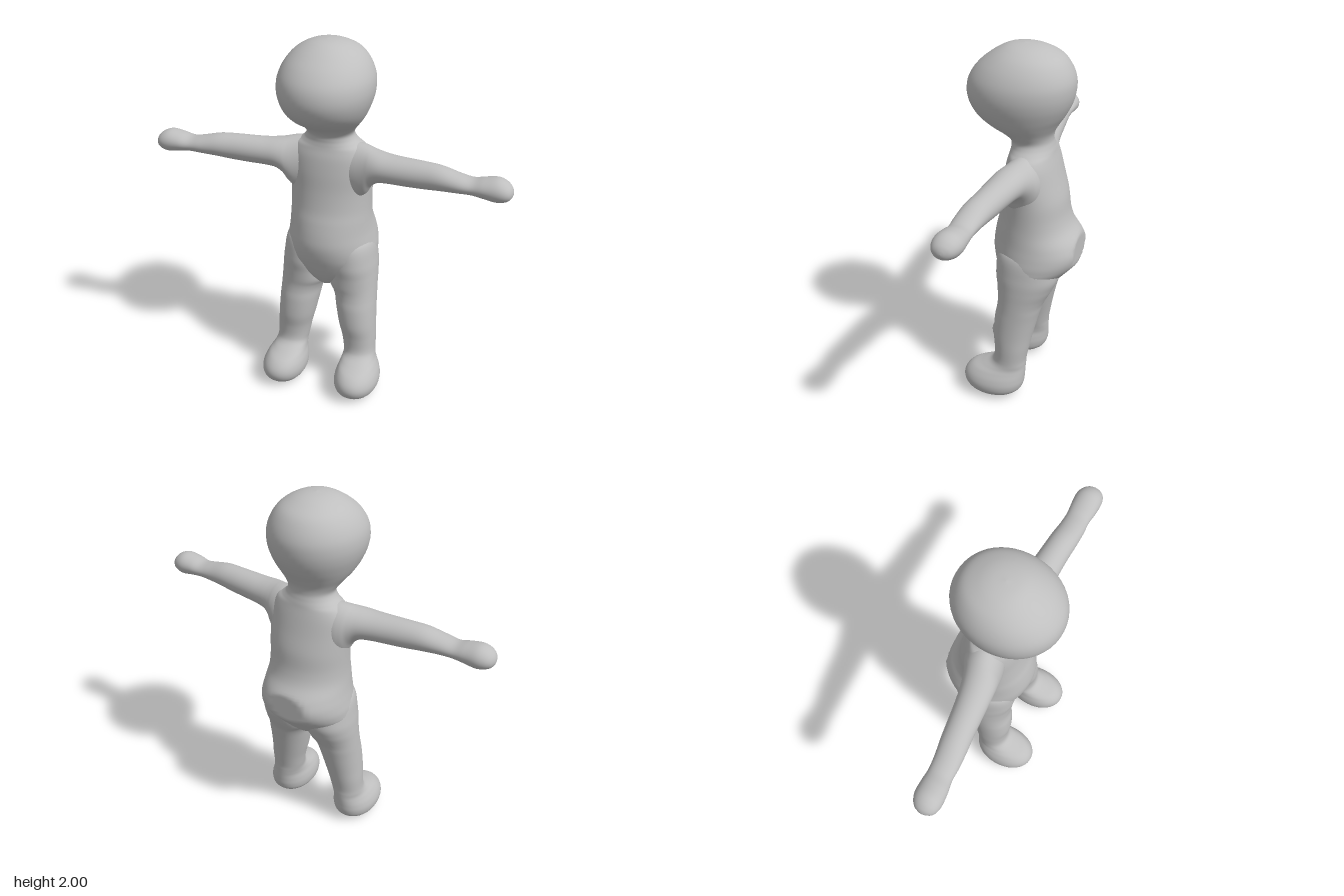
import * as THREE from 'three';

const AROUND = 48, STEPS = 6;

// Smooth curve through four neighbouring values
function spline(a, b, c, d, f) {
  const m0 = (c - a) / 2, m1 = (d - b) / 2;
  return b + f * (m0 + f * (3 * (c - b) - 2 * m0 - m1 + f * (m0 + m1 - 2 * (c - b))));
}

// Skin over cross-sections [t, uMin, uMax, vMin, vMax]; place maps (t, u, v) to [x, y, z]
function loft(sections, power, place, flip = false) {
  const rings = [];
  const last = sections.length - 1;
  const at = (i) => sections[Math.max(0, Math.min(last, i))];
  for (let i = 0; i < last; i++) {
    for (let s = 0; s < STEPS; s++) {
      rings.push(sections[0].map((_, k) =>
        spline(at(i - 1)[k], at(i)[k], at(i + 1)[k], at(i + 2)[k], s / STEPS)));
    }
  }
  rings.push(sections[last]);

  const bulge = (n) => Math.sign(n) * Math.pow(Math.abs(n), 2 / power);
  const positions = [], index = [];
  rings.forEach(([t, u0, u1, v0, v1], i) => {
    for (let j = 0; j < AROUND; j++) {
      const a = (j / AROUND) * Math.PI * 2;
      positions.push(...place(t,
        (u0 + u1) / 2 + bulge(Math.cos(a)) * (u1 - u0) / 2,
        (v0 + v1) / 2 + bulge(Math.sin(a)) * (v1 - v0) / 2));
      if (i === rings.length - 1) continue;
      const p = i * AROUND + j, q = i * AROUND + (j + 1) % AROUND;
      const r = p + AROUND, w = q + AROUND;
      if (flip) index.push(p, q, r, q, w, r);
      else index.push(p, r, q, q, r, w);
    }
  });
  const geometry = new THREE.BufferGeometry();
  geometry.setAttribute('position', new THREE.Float32BufferAttribute(positions, 3));
  geometry.setIndex(index);
  geometry.computeVertexNormals();
  return geometry;
}

// Torso, neck and head: y, half width, back z, front z
const BODY = [
  [0.605, 0, -0.03, -0.03],
  [0.615, 0.03, -0.08, 0.03],
  [0.64, 0.07, -0.13, 0.07],
  [0.70, 0.17, -0.195, 0.108],
  [0.78, 0.245, -0.265, 0.14],
  [0.84, 0.252, -0.315, 0.158],
  [0.90, 0.243, -0.335, 0.166],
  [0.96, 0.232, -0.315, 0.160],
  [1.03, 0.223, -0.265, 0.145],
  [1.10, 0.22, -0.24, 0.126],
  [1.20, 0.222, -0.225, 0.11],
  [1.30, 0.226, -0.198, 0.10],
  [1.38, 0.22, -0.177, 0.088],
  [1.43, 0.195, -0.163, 0.075],
  [1.455, 0.16, -0.157, 0.07],
  [1.48, 0.135, -0.15, 0.068],
  [1.51, 0.127, -0.145, 0.075],
  [1.55, 0.15, -0.152, 0.115],
  [1.60, 0.188, -0.18, 0.20],
  [1.65, 0.215, -0.212, 0.26],
  [1.71, 0.237, -0.24, 0.293],
  [1.77, 0.246, -0.254, 0.30],
  [1.83, 0.239, -0.253, 0.284],
  [1.89, 0.212, -0.23, 0.24],
  [1.94, 0.17, -0.19, 0.18],
  [1.975, 0.115, -0.125, 0.122],
  [1.993, 0.06, -0.065, 0.072],
  [2.0, 0, 0.005, 0.005],
];

// Leg with foot: y, inner x, outer x, back z, front z
const LEG = [
  [0, 0.22, 0.22, 0.11, 0.11],
  [0.004, 0.17, 0.265, 0.035, 0.19],
  [0.02, 0.13, 0.31, -0.01, 0.24],
  [0.05, 0.104, 0.335, -0.045, 0.275],
  [0.09, 0.096, 0.342, -0.06, 0.29],
  [0.13, 0.10, 0.333, -0.064, 0.28],
  [0.165, 0.11, 0.315, -0.066, 0.245],
  [0.19, 0.115, 0.30, -0.067, 0.185],
  [0.215, 0.116, 0.293, -0.068, 0.133],
  [0.25, 0.11, 0.29, -0.07, 0.113],
  [0.32, 0.097, 0.289, -0.083, 0.112],
  [0.40, 0.077, 0.285, -0.099, 0.121],
  [0.50, 0.056, 0.28, -0.122, 0.116],
  [0.56, 0.044, 0.277, -0.138, 0.106],
  [0.60, 0.028, 0.275, -0.15, 0.103],
  [0.64, 0.005, 0.273, -0.17, 0.106],
  [0.70, 0, 0.27, -0.20, 0.11],
  [0.78, 0, 0.262, -0.225, 0.118],
  [0.90, 0.01, 0.235, -0.20, 0.10],
  [0.95, 0.10, 0.15, -0.05, 0],
];

// Arm with hand: x, back z, front z, bottom y, top y
const ARM = [
  [0.10, -0.14, 0.06, 1.16, 1.462],
  [0.17, -0.14, 0.075, 1.155, 1.456],
  [0.21, -0.128, 0.082, 1.19, 1.45],
  [0.24, -0.11, 0.086, 1.24, 1.444],
  [0.28, -0.092, 0.09, 1.272, 1.438],
  [0.34, -0.076, 0.093, 1.282, 1.432],
  [0.42, -0.062, 0.096, 1.285, 1.43],
  [0.52, -0.049, 0.10, 1.29, 1.429],
  [0.61, -0.038, 0.107, 1.299, 1.424],
  [0.70, -0.025, 0.11, 1.306, 1.404],
  [0.77, -0.02, 0.108, 1.309, 1.392],
  [0.83, -0.024, 0.117, 1.302, 1.405],
  [0.89, -0.026, 0.121, 1.292, 1.415],
  [0.93, -0.015, 0.115, 1.297, 1.405],
  [0.957, 0.005, 0.098, 1.31, 1.385],
  [0.97, 0.03, 0.072, 1.328, 1.364],
  [0.974, 0.05, 0.05, 1.345, 1.345],
];

export function createModel() {
  const model = new THREE.Group();
  model.name = 'figure';
  const clay = new THREE.MeshStandardMaterial({ color: 0xbfbfbf });
  clay.name = 'grey clay';
  const add = (name, geometry) => {
    const mesh = new THREE.Mesh(geometry, clay);
    mesh.name = name;
    model.add(mesh);
  };

  // The seat is cut flat at the back
  add('headAndTorso', loft(BODY.map(([y, w, back, front]) => [y, -w, w, back, front]), 2.05,
    (y, x, z) => [x, y, Math.max(z, -0.302)]));

  // Mirrored limbs
  for (const [label, side] of [['left', 1], ['right', -1]]) {
    add(label + 'Leg', loft(LEG, 2.1, (y, x, z) => [x * side, y, z], side < 0));
    add(label + 'Arm', loft(ARM, 2, (x, z, y) => [x * side, y, z], side < 0));
  }
  return model;
}
